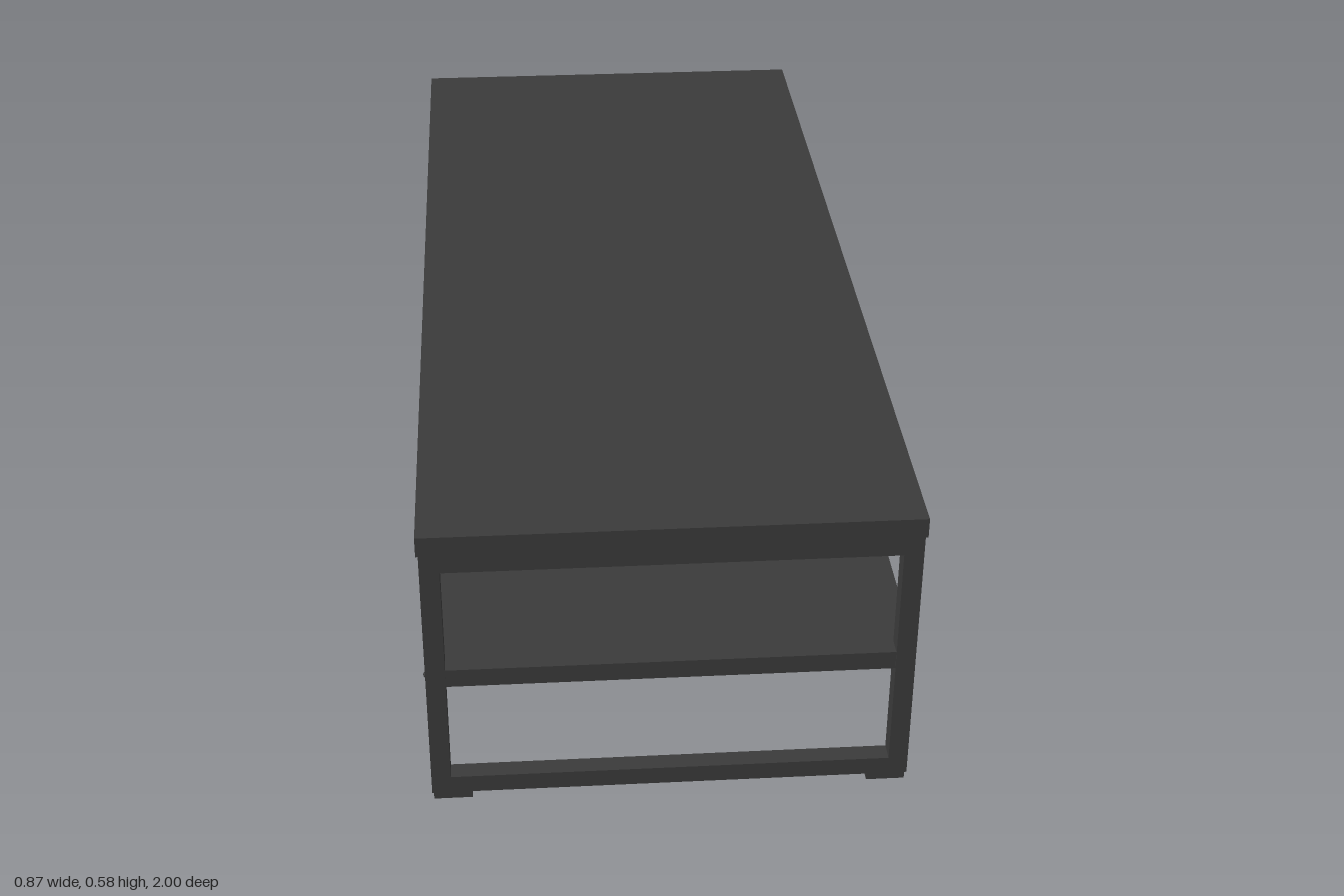
import * as THREE from 'three';

const material = new THREE.MeshStandardMaterial({ color: 0x3a3a3a });

function add(parent, name, geometry, x = 0, y = 0, z = 0) {
  const mesh = new THREE.Mesh(geometry, material);
  mesh.name = name;
  mesh.position.set(x, y, z);
  parent.add(mesh);
  return mesh;
}

// Closed polygon from [x, y] pairs
const polygon = (points) => points.map(([x, y]) => new THREE.Vector2(x, y));
const rectangle = (w, y0, y1) => polygon([[-w, y0], [w, y0], [w, y1], [-w, y1]]);

const extrude = (shape, depth) =>
  new THREE.ExtrudeGeometry(shape, { depth, bevelEnabled: false });

export function createModel() {
  const table = new THREE.Group();
  table.name = 'coffeeTable';

  const halfWidth = 0.433;   // outside of the leg frames
  const bar = 0.035;         // square tube thickness
  const inner = halfWidth - bar;
  const frameZ = 0.98;       // centre line of each end frame

  // Table top
  add(table, 'tableTop', new THREE.BoxGeometry(0.874, 0.038, 2), 0, 0.559, 0);

  // Lower shelf, notched at its corners to pass between the posts
  const a = frameZ - bar / 2;
  const b = 0.995;
  const shelf = new THREE.Shape(polygon([
    [-inner, -b], [inner, -b], [inner, -a], [halfWidth, -a],
    [halfWidth, a], [inner, a], [inner, b], [-inner, b],
    [-inner, a], [-halfWidth, a], [-halfWidth, -a], [-inner, -a],
  ]));
  add(table, 'lowerShelf', extrude(shelf, 0.036).rotateX(-Math.PI / 2), 0, 0.257, 0);

  // Closed rectangular end frames with feet and bolts
  const outline = new THREE.Shape(rectangle(halfWidth, 0.018, 0.54));
  outline.holes.push(new THREE.Path(rectangle(inner, 0.053, 0.503).reverse()));
  const frameGeometry = extrude(outline, bar).translate(0, 0, -bar / 2);
  const footGeometry = new THREE.BoxGeometry(0.07, 0.018, 0.025);
  const boltGeometry = new THREE.SphereGeometry(0.006, 16, 10);

  for (const end of [1, -1]) {
    const legs = new THREE.Group();
    legs.name = end > 0 ? 'frontLegs' : 'backLegs';
    legs.position.z = end * frameZ;
    table.add(legs);
    add(legs, 'legFrame', frameGeometry);
    for (const side of [1, -1]) {
      add(legs, 'foot', footGeometry, side * 0.395, 0.009, 0);
      add(legs, 'bolt', boltGeometry, side * 0.431, 0.275, 0);
    }
  }
  return table;
}
